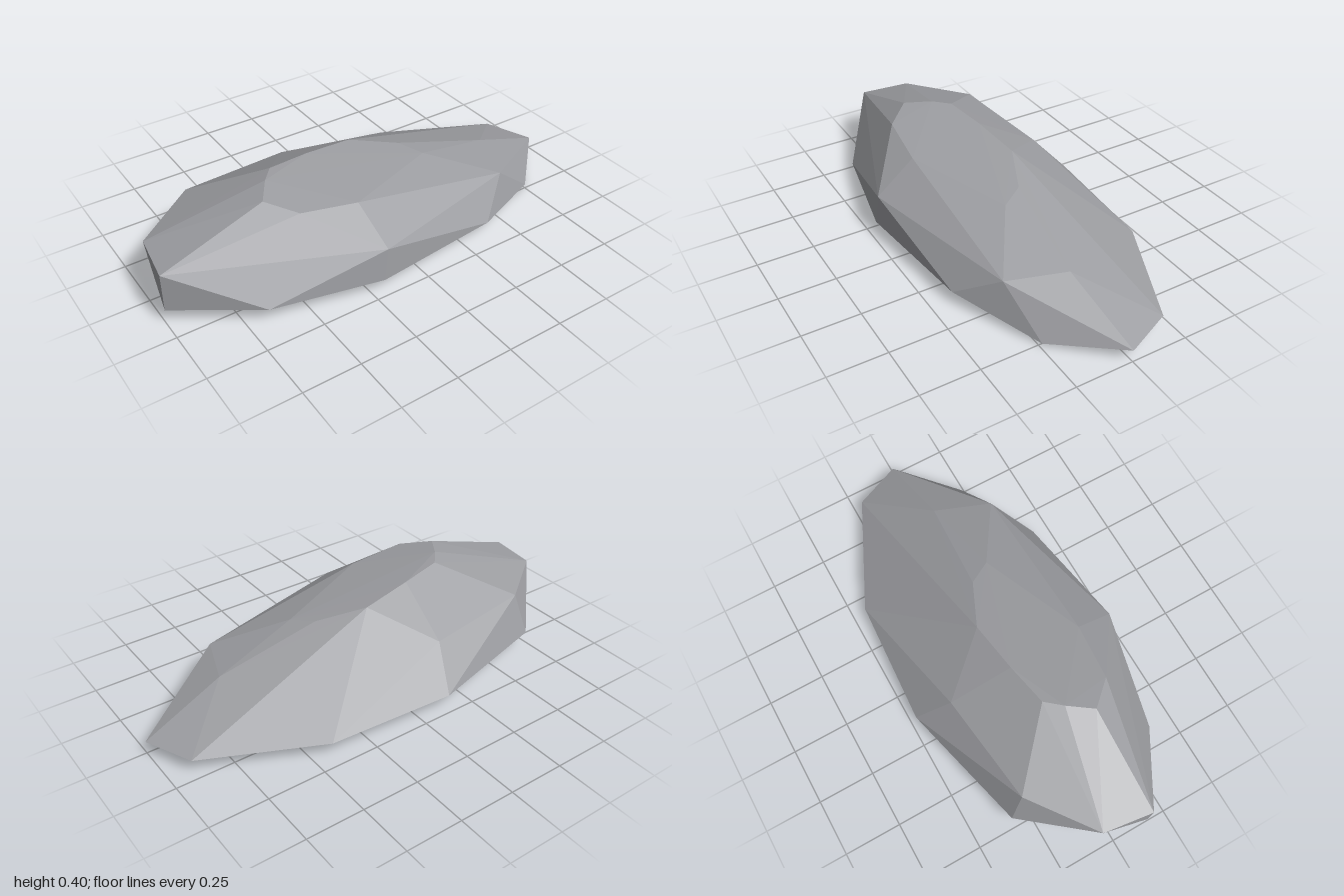
import * as THREE from 'three';
import { ConvexGeometry } from 'three/addons/geometries/ConvexGeometry.js';

export function createModel() {
  const group = new THREE.Group();
  group.name = 'rock';
  const stone = new THREE.MeshStandardMaterial({ color: 0x9c9da1, flatShading: true });
  stone.name = 'grey stone';

  // Flat underside
  const base = [
    [-0.87, 0, 0.13], [-0.6, 0, 0.31], [-0.2, 0, 0.37], [0.35, 0, 0.34],
    [0.76, 0.01, 0.24], [0.82, 0, -0.02], [0.75, 0, -0.17],
    [0.38, 0, -0.36], [-0.12, 0, -0.385], [-0.62, 0, -0.27], [-0.8, 0, -0.06],
  ];
  // Widest outline, just above the ground
  const rim = [
    [-1, 0.07, 0.16], [-0.67, 0.07, 0.38], [-0.2, 0.06, 0.475], [0.38, 0.06, 0.415],
    [1, 0.055, 0], [0.91, 0.06, -0.21], [0.42, 0.06, -0.44],
    [-0.14, 0.065, -0.475], [-0.72, 0.076, -0.33], [-0.9, 0.065, -0.1],
  ];
  // Shoulders of the sloping sides
  const shoulder = [
    [-1, 0.24, 0.16], [-0.18, 0.2, 0.465], [0.55, 0.18, 0.285], [0.64, 0.19, 0.04],
    [-0.2, 0.23, -0.328], [-0.69, 0.255, -0.27], [-0.97, 0.245, -0.06],
  ];
  // Crest, highest towards the blunt end
  const crest = [
    [-0.55, 0.39, 0.15], [-0.48, 0.402, 0.045], [-0.42, 0.398, -0.025],
    [-0.23, 0.38, -0.06], [0, 0.35, -0.09], [0.2, 0.31, 0],
    [0.26, 0.29, 0.1], [-0.2, 0.325, 0.285], [-0.45, 0.36, 0.26],
  ];

  const points = [...base, ...rim, ...shoulder, ...crest].map((p) => new THREE.Vector3(...p));
  const boulder = new THREE.Mesh(new ConvexGeometry(points), stone);
  boulder.name = 'boulder';
  group.add(boulder);
  return group;
}
